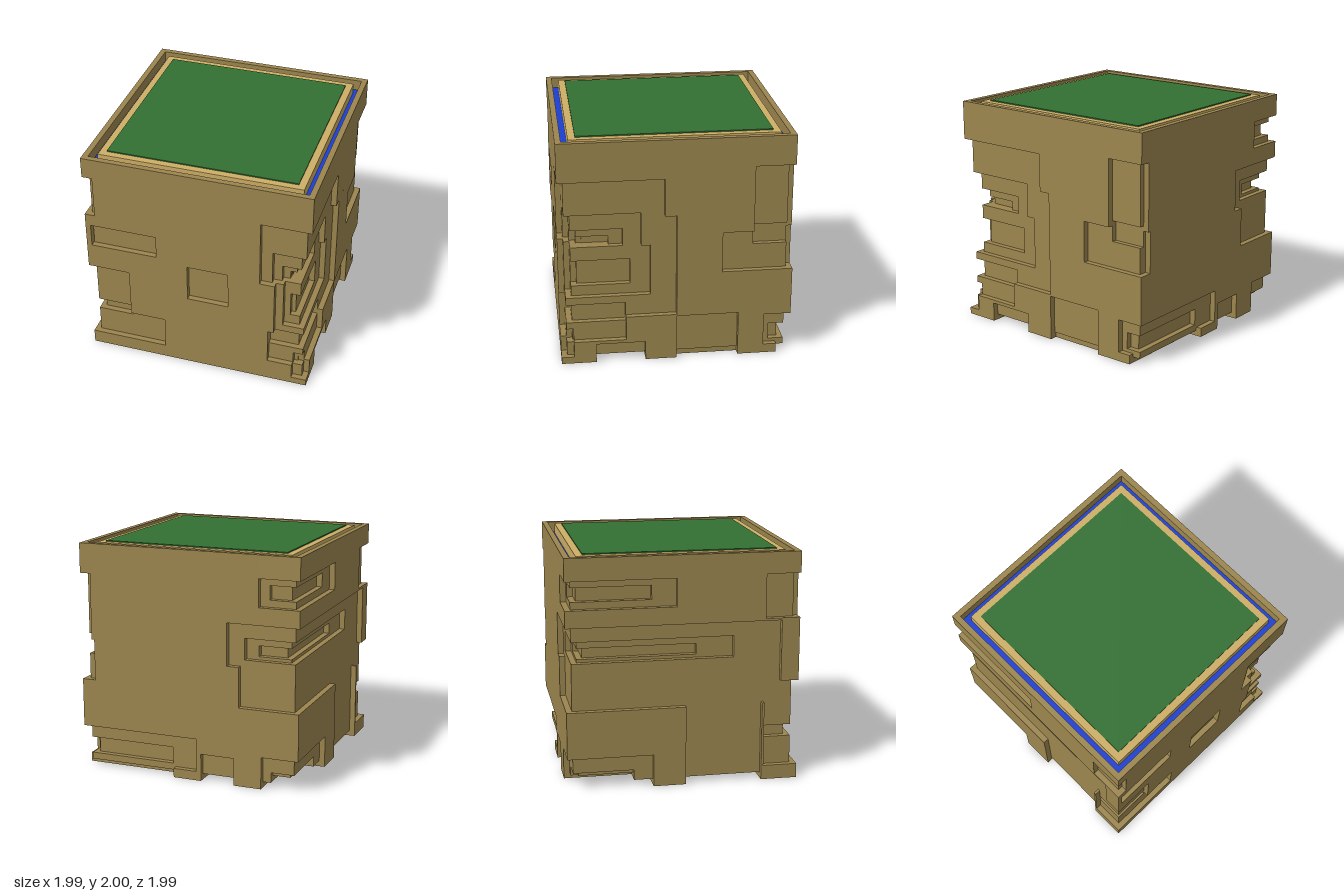
import * as THREE from 'three';

const H = 0.995, TOP = 1.995, STEP = 0.05, MOAT = 0.945, FLOOR = 1.88;
const FAR = 2; // beyond the block, for recesses that run out over an edge
const recesses = [];

function recess(x0, x1, y0, y1, z0, z1, steps = 1) {
  const box = new THREE.Box3(new THREE.Vector3(x0, y0, z0), new THREE.Vector3(x1, y1, z1));
  recesses.push({ box, steps });
}

// Stepped recess wrapping an upright edge. x and z tell how far from the middle it starts.
// Each deeper step shrinks by the width and height ratios; hold 0 keeps the sill, 1 the head.
const edge = (sx, sz) => (x, z, y0, y1, steps = 1, hold = 0.5, width = 0.78, height = 0.5) => {
  for (let k = 0; k < steps; k++) {
    const xk = H - (H - x) * width ** k, zk = H - (H - z) * width ** k;
    const hk = (y1 - y0) * height ** k;
    const yk = y0 + hold * (y1 - y0 - hk);
    recess(sx > 0 ? xk : -FAR, sx > 0 ? FAR : -xk, yk, yk + hk,
      sz > 0 ? zk : -FAR, sz > 0 ? FAR : -zk, k + 1);
  }
};

function layOutRecesses() {
  recesses.length = 0;
  const frontLeft = edge(1, 1), backLeft = edge(1, -1);
  const backRight = edge(-1, -1), frontRight = edge(-1, 1);
  frontLeft(0.56, 0.1, 1.04, 1.655, 4, 0);
  frontLeft(0.69, 0, 0.415, 1.325, 3, 0.4);
  frontLeft(0.64, 0.435, 0.2, 0.53, 2, 1, 1);
  frontLeft(0.86, 0.885, 0.06, 0.305, 2, 1, 1);
  backLeft(0.9, 0.655, 1.02, 1.735, 2, 0, 1, 0.25);
  backLeft(0.875, 0.39, 0.795, 1.155);
  backLeft(-0.075, 0.76, 0.08, 0.37, 2, 0.2);
  backLeft(0.135, 0.875, 0, 0.08);
  backRight(0.638, 0.06, 1.56, 1.8, 2);
  backRight(0.36, -0.84, 1.04, 1.41, 3, 0.3);
  backRight(0.464, -0.84, 0.69, 1.04);
  backRight(0.667, 0.26, 0, 0.28, 2, 0);
  frontRight(0.905, 0.7, 1.43, 1.81);
  frontRight(0.62, 0.7, 0.37, 0.88, 2, 0, 1, 0.2);
  frontRight(0.305, 0.7, 0.125, 0.425);
  // front niches
  recess(-0.95, -0.36, 1.11, 1.32, 0.9, FAR);
  recess(-0.085, 0.28, 0.72, 1.065, 0.9, FAR);
  // notches running under the left, back and right sides
  recess(0.59, FAR, 0, 0.17, 0.27, 0.695);
  recess(0.93, FAR, 0, 0.4, -0.535, 0);
  recess(-0.42, -0.12, 0, 0.24, -FAR, -0.435);
  recess(-FAR, 0.25, 0, 0.69, 0.02, 0.68);
}

// Is this point part of the carved block?
function isSolid(p) {
  const r = Math.max(Math.abs(p.x), Math.abs(p.z));
  if (p.y > FLOOR && r < MOAT) return false;
  return !recesses.some(({ box, steps }) =>
    (r > H - steps * STEP || p.y < steps * STEP) && box.containsPoint(p));
}

// Sorted cutting planes along one axis
function planes(axis) {
  const [lo, hi] = axis === 'y' ? [0, TOP] : [-H, H];
  const v = axis === 'y' ? [lo, hi, FLOOR] : [lo, hi];
  for (let k = 1; k <= 4; k++) {
    v.push(lo + k * STEP);
    if (axis !== 'y') v.push(hi - k * STEP);
  }
  for (const { box } of recesses) v.push(box.min[axis], box.max[axis]);
  const kept = v.filter(a => a >= lo && a <= hi).map(a => Math.round(a * 1000) / 1000);
  return [...new Set(kept)].sort((a, b) => a - b);
}

// Skin of the carved block: strips of exposed faces along each cutting plane
function carvedGeometry() {
  layOutRecesses();
  const g = ['x', 'y', 'z'].map(planes);
  const size = g.map(a => a.length - 1);
  const cells = new Uint8Array(size[0] * size[1] * size[2]);
  const index = c => (c[0] * size[1] + c[1]) * size[2] + c[2];
  const mid = (a, i) => (g[a][i] + g[a][i + 1]) / 2;
  const point = new THREE.Vector3();
  for (let i = 0; i < size[0]; i++)
    for (let j = 0; j < size[1]; j++)
      for (let k = 0; k < size[2]; k++)
        cells[index([i, j, k])] = isSolid(point.set(mid(0, i), mid(1, j), mid(2, k))) ? 1 : 0;
  const filled = c => c.every((v, a) => v >= 0 && v < size[a]) && cells[index(c)] === 1;

  const pos = [];
  for (let d = 0; d < 3; d++) {
    const u = (d + 1) % 3, v = (d + 2) % 3;
    for (const s of [1, -1]) {
      const exposed = (a, b, c) => {
        const cell = [0, 0, 0];
        cell[d] = a; cell[u] = b; cell[v] = c;
        if (!filled(cell)) return false;
        cell[d] += s;
        return !filled(cell);
      };
      for (let a = 0; a < size[d]; a++)
        for (let b = 0; b < size[u]; b++)
          for (let c = 0; c < size[v]; c++) {
            if (!exposed(a, b, c)) continue;
            const start = c;
            while (c + 1 < size[v] && exposed(a, b, c + 1)) c++;
            const corner = (iu, iv) => {
              const p = [0, 0, 0];
              p[d] = g[d][s > 0 ? a + 1 : a]; p[u] = g[u][iu]; p[v] = g[v][iv];
              return p;
            };
            const q = [corner(b, start), corner(b + 1, start), corner(b + 1, c + 1), corner(b, c + 1)];
            if (s < 0) q.reverse();
            for (const i of [0, 1, 2, 0, 2, 3]) pos.push(...q[i]);
          }
    }
  }
  const geo = new THREE.BufferGeometry();
  geo.setAttribute('position', new THREE.Float32BufferAttribute(pos, 3));
  geo.computeVertexNormals();
  return geo;
}

export function createModel() {
  const model = new THREE.Group();
  model.name = 'carvedBlock';
  const add = (name, geometry, color) => {
    const mesh = new THREE.Mesh(geometry, new THREE.MeshStandardMaterial({ color }));
    mesh.name = name;
    model.add(mesh);
    return mesh;
  };
  // Square slab between two heights
  const slab = (name, half, y0, y1, color) => {
    add(name, new THREE.BoxGeometry(half * 2, y1 - y0, half * 2), color).position.y = (y0 + y1) / 2;
  };

  add('rockBody', carvedGeometry(), 0x9c864f);
  slab('waterMoat', MOAT, FLOOR, 1.9, 0x1c3fcf);
  slab('sandIsland', 0.885, 1.89, TOP - 0.005, 0xcdae66);
  slab('grassTop', 0.825, 1.98, 2, 0x337033);
  return model;
}
